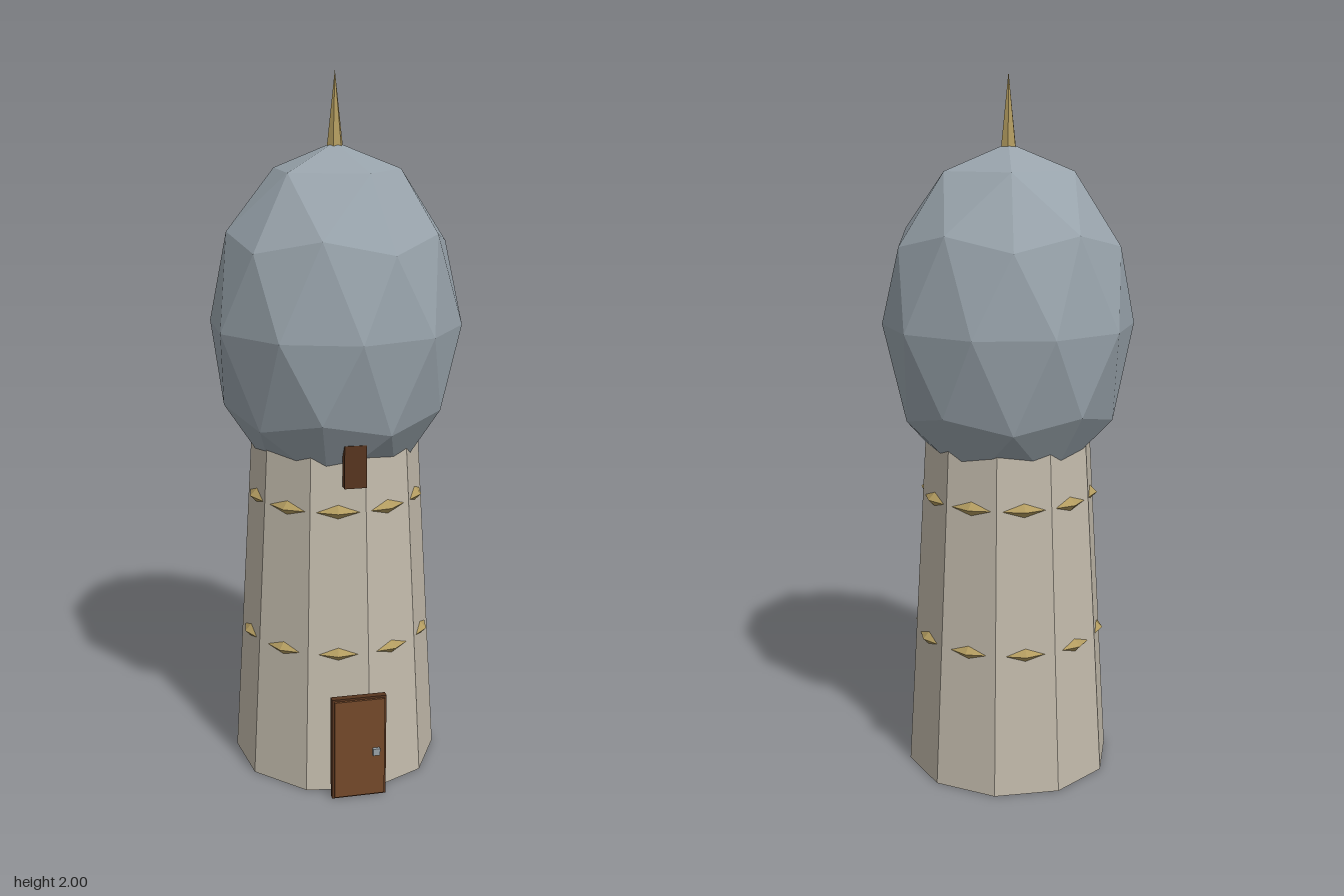
import * as THREE from 'three';

const flat = (name, color) => {
  const m = new THREE.MeshStandardMaterial({ color, flatShading: true });
  m.name = name;
  return m;
};

export function createModel() {
  const stone = flat('pale stone', 0xc2baab);
  const slate = flat('slate grey', 0x98a3ab);
  const gold = flat('dull gold', 0xb39c60);
  const wood = flat('door wood', 0x74492a);
  const darkWood = flat('dark wood', 0x57351f);
  const steel = flat('steel', 0x98a2a8);

  const group = new THREE.Group();
  const add = (name, geometry, material, x = 0, y = 0, z = 0) => {
    const mesh = new THREE.Mesh(geometry, material);
    mesh.name = name;
    mesh.position.set(x, y, z);
    group.add(mesh);
    return mesh;
  };
  const deg = THREE.MathUtils.degToRad;

  // Tapered ten-sided shaft, turned slightly off the front
  const turn = deg(8);
  add('towerShaft', new THREE.CylinderGeometry(0.24, 0.3, 1, 10, 1, false, turn), stone, 0, 0.5, 0);

  // Ten-sided rings turned half a side, so only their corners break through the walls
  const ring = (name, y, outer) => {
    const t = 0.025;
    const profile = [[outer - t, -t], [outer, 0], [outer - t, t], [outer - 2 * t, 0], [outer - t, -t]]
      .map(([r, h]) => new THREE.Vector2(r, h));
    add(name, new THREE.LatheGeometry(profile, 10, turn - deg(18)), gold, 0, y, 0);
  };
  ring('lowerRing', 0.41, 0.28);
  ring('upperRing', 0.823, 0.258);

  // Faceted egg-shaped dome with a corner pointing straight up
  const dome = new THREE.IcosahedronGeometry(1, 1);
  dome.rotateX(-Math.atan((1 + Math.sqrt(5)) / 2));
  dome.rotateY(Math.PI / 2);
  dome.scale(0.358, 0.5, 0.358);
  add('dome', dome, slate, 0, 1.31, 0);

  // Six-sided spire
  add('spire', new THREE.ConeGeometry(0.024, 0.21, 6, 1, false, deg(37)), gold, 0, 1.895, 0);

  // Door with a dark surround and a small handle
  add('doorSurround', new THREE.BoxGeometry(0.156, 0.305, 0.02), darkWood, 0, 0.1525, 0.316);
  add('doorPanel', new THREE.BoxGeometry(0.144, 0.293, 0.008), wood, 0, 0.1525, 0.329);
  add('doorHandle', new THREE.BoxGeometry(0.02, 0.02, 0.012), steel, 0.047, 0.14, 0.337);

  // Small shutter under the dome
  add('shutter', new THREE.BoxGeometry(0.062, 0.12, 0.03), darkWood, 0, 0.96, 0.255);

  return group;
}
